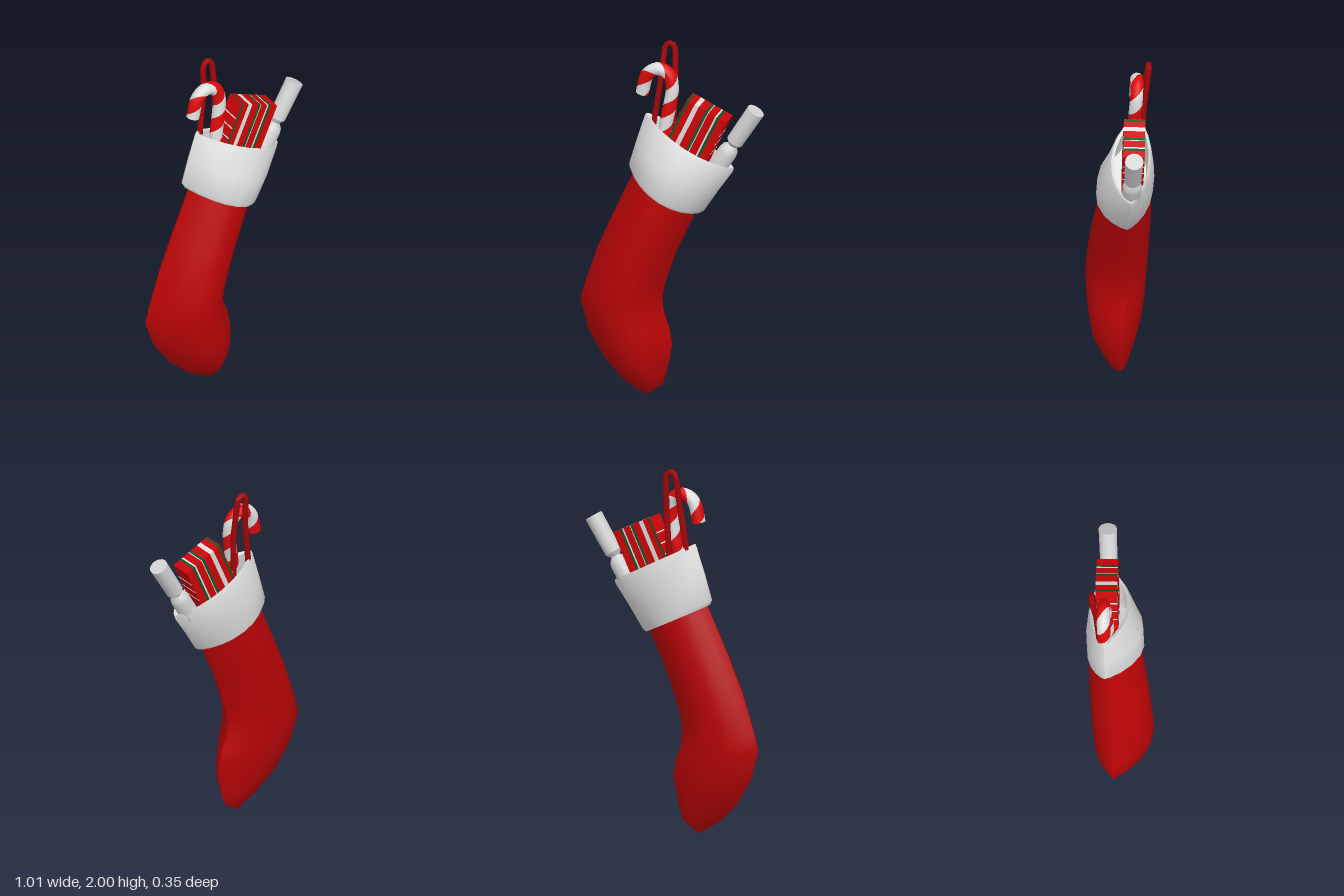
import * as THREE from 'three';
import { toCreasedNormals } from 'three/addons/utils/BufferGeometryUtils.js';

const V = (x, y, z) => new THREE.Vector3(x, y, z);
const mat = (name, color, side = THREE.FrontSide) => {
  const m = new THREE.MeshStandardMaterial({ color, side });
  m.name = name;
  return m;
};

// Skin between rows of points; each row repeats its first point at the end
function loft(rows, crease, materialOf) {
  const n = rows[0].length, index = [];
  const geo = new THREE.BufferGeometry().setFromPoints(rows.flat());
  for (let i = 0; i < rows.length - 1; i++) {
    if (materialOf) geo.addGroup(index.length, (n - 1) * 6, materialOf(i));
    for (let j = 0; j < n - 1; j++) {
      const a = i * n + j, b = a + n;
      index.push(a, b, a + 1, b, b + 1, a + 1);
    }
  }
  geo.setIndex(index);
  return toCreasedNormals(geo, crease);
}

// Lens-shaped section: left and right edge points, edge depths, front and back depth.
// A sharpness near 2 makes the two edges pointed, 1 makes them round.
function section([lx, ly, rx, ry, zl, zr, zf, zb], sharpness) {
  const mid = (zl + zr) / 2, row = [], sides = 20;
  for (let j = 0; j <= sides; j++) {
    const a = (j % sides) / sides * Math.PI * 2, s = Math.sin(a);
    const t = (1 + Math.cos(a)) / 2;
    const bulge = Math.abs(s) ** sharpness * (s > 0 ? zf - mid : zb - mid);
    row.push(V(lx + (rx - lx) * t, ly + (ry - ly) * t, zl + (zr - zl) * t + bulge));
  }
  return row;
}

export function createModel() {
  const group = new THREE.Group();
  const red = mat('stocking red', 0xb80406);
  const white = mat('fur white', 0xdedede, THREE.DoubleSide);
  const loopRed = mat('loop dark red', 0xa4060a);
  const candyRed = mat('candy red', 0xdc0a0a);
  const giftRed = mat('gift red', 0xcc0508);
  const green = mat('gift green', 0x0f5526);
  const paper = mat('paper grey', 0xd2d2d2);
  const add = (name, geo, material, parent = group) => {
    const m = new THREE.Mesh(geo, material);
    m.name = name;
    parent.add(m);
    return m;
  };

  // Stocking, toe to ankle
  add('stocking', loft([
    [-.13, 0, -.13, 0, 0, 0, 0, 0],
    [-.2, .04, -.04, .065, 0, 0, .05, -.03],
    [-.265, .08, -.02, .13, -.01, 0, .088, -.055],
    [-.37, .185, 0, .22, -.035, 0, .14, -.095],
    [-.46, .33, .01, .3, -.055, -.01, .16, -.127],
    [-.505, .49, -.005, .39, -.065, -.015, .17, -.145],
    [-.482, .575, -.037, .48, -.065, -.02, .172, -.15],
    [-.455, .66, -.046, .56, -.065, -.02, .172, -.155],
    [-.41, .8, -.03, .645, -.065, -.02, .166, -.16],
    [-.33, .99, .03, .83, -.065, -.02, .15, -.165],
    [-.215, 1.25, .14, 1.08, -.07, -.02, .12, -.163],
    [-.18, 1.35, .19, 1.2, -.07, -.02, .1, -.15],
  ].map(r => section(r, 1.75)), 0.6), red);

  // Cuff: under edge, outside, rim, inside and hidden floor
  add('cuff', loft([
    [-.2, 1.26, .13, 1.1, -.08, -.02, .11, -.15],
    [-.23, 1.262, .165, 1.075, -.085, -.02, .125, -.166],
    [-.243, 1.29, .185, 1.09, -.09, -.02, .133, -.17],
    [-.203, 1.43, .26, 1.21, -.09, -.025, .13, -.174],
    [-.158, 1.575, .338, 1.325, -.09, -.03, .073, -.157],
    [-.15, 1.59, .343, 1.345, -.09, -.03, .062, -.149],
    [-.13, 1.575, .32, 1.345, -.09, -.03, .047, -.138],
    [-.16, 1.42, .22, 1.23, -.08, -.03, .08, -.13],
    [.03, 1.3, .03, 1.3, -.04, -.04, -.04, -.04],
  ].map(r => section(r, 1.5)), 0.9), white);

  // Hanging loop with a flat top
  const loopPath = new THREE.CatmullRomCurve3([
    V(-.125, 1.45, -.105), V(-.075, 1.8, -.125), V(-.062, 1.95, -.146), V(-.046, 1.982, -.148),
    V(-.02, 1.982, -.148), V(-.004, 1.95, -.146), V(.002, 1.75, -.122), V(-.01, 1.45, -.105),
  ], false, 'catmullrom', .15);
  add('hangingLoop', new THREE.TubeGeometry(loopPath, 48, .016, 6), loopRed);

  // Candy cane: rows are sheared around the tube so the stripes spiral
  const cane = new THREE.CatmullRomCurve3([
    V(-.05, 1.4, -.055), V(-.035, 1.55, -.065), V(-.005, 1.76, -.08), V(-.025, 1.83, -.087),
    V(-.08, 1.854, -.09), V(-.14, 1.82, -.09), V(-.172, 1.705, -.09)]);
  const pitch = .24, radius = .036, step = 8, sides = 12, caneRows = [];
  const clamp = u => Math.min(1, Math.max(0, u));
  for (let i = 0; i <= step * (1 + 1 / pitch) + 1; i++) {
    const row = [];
    for (let j = 0; j <= sides; j++) {
      const u = clamp((i / step - j / sides) * pitch), a = (j % sides) / sides * Math.PI * 2;
      const out = cane.getTangentAt(u).cross(V(0, 0, 1)).normalize();
      row.push(cane.getPointAt(u).addScaledVector(out, radius * Math.cos(a))
        .add(V(0, 0, radius * Math.sin(a))));
    }
    caneRows.push(row);
  }
  add('candyCane', loft(caneRows, 1, i => Math.floor(i / (step / 2)) % 2), [white, candyRed]);
  const tip = add('candyCaneTip', new THREE.CircleGeometry(radius, 12), white);
  tip.position.copy(cane.getPointAt(1));
  tip.lookAt(cane.getPointAt(1).add(cane.getTangentAt(1)));

  // Gift box made of striped slabs
  const gift = new THREE.Group();
  gift.name = 'giftBox';
  gift.position.set(.205, 1.67, -.055);
  gift.rotation.set(0, -.08, -.43, 'ZYX');
  group.add(gift);
  const width = .236, height = .34, depth = .115;
  let start = 0;
  [[.05, green], [.19, giftRed], [.3, white], [.48, giftRed], [.54, green], [.56, white],
    [.73, giftRed], [.77, white], [.83, green], [1, giftRed]].forEach(([end, m]) => {
    const slab = add('giftStripe', new THREE.BoxGeometry((end - start) * width, height, depth), m, gift);
    slab.position.set(((start + end) / 2 - .5) * width, -height / 2, 0);
    start = end;
  });
  // Red sides of the gift with thin cross bands
  for (const s of [-1, 1]) {
    add('giftSide', new THREE.BoxGeometry(.004, height, depth), giftRed, gift)
      .position.set(s * (width / 2 + .002), -height / 2, 0);
    for (const y of [-.09, -.15, -.21])
      add('giftSideBand', new THREE.BoxGeometry(.003, .007, depth), white, gift)
        .position.set(s * (width / 2 + .004), y, 0);
  }

  // Paper cracker: rolled end, pinch and lower barrel
  const cracker = new THREE.Group();
  cracker.name = 'cracker';
  cracker.position.set(.462, 1.685, -.037);
  cracker.rotation.z = -.55;
  group.add(cracker);
  add('crackerEnd', new THREE.CylinderGeometry(.049, .046, .22, 20), paper, cracker).position.y = -.11;
  const profile = [[0, -.48], [.052, -.48], [.052, -.295], [.046, -.268], [.026, -.245], [.046, -.22]]
    .map(p => new THREE.Vector2(...p));
  add('crackerBarrel', toCreasedNormals(new THREE.LatheGeometry(profile, 20), .6), paper, cracker);

  return group;
}
